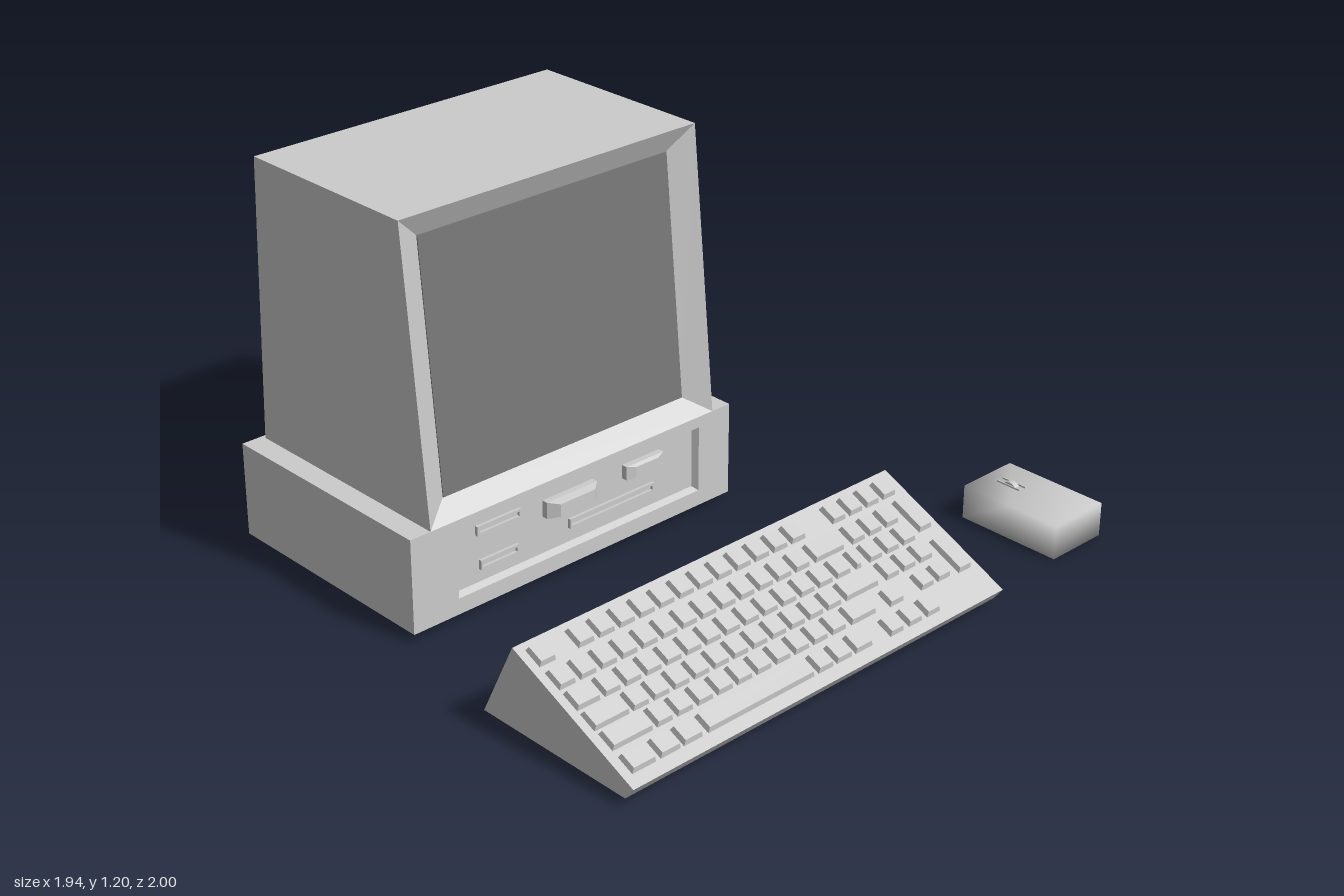
import * as THREE from 'three';
import { mergeGeometries, mergeVertices } from 'three/addons/utils/BufferGeometryUtils.js';

const grey = new THREE.MeshStandardMaterial({ color: 0xcccccc });
const darkGrey = new THREE.MeshStandardMaterial({ color: 0x777777 });

// Rectangle cross-section; bottom and top edges may have different z
const ring = (x0, x1, y0, y1, z0, z1 = z0) => [[x0, y0, z0], [x1, y0, z0], [x1, y1, z1], [x0, y1, z1]];

// Closed flat-sided skin through rectangles listed from front to back
function loft(rings) {
  const pos = [];
  const quad = (a, b, c, d) => pos.push(...a, ...b, ...c, ...a, ...c, ...d);
  quad(...rings[0]);
  for (let i = 0; i < rings.length - 1; i++) {
    const f = rings[i], r = rings[i + 1];
    for (let k = 0; k < 4; k++) {
      const n = (k + 1) % 4;
      quad(f[k], r[k], r[n], f[n]);
    }
  }
  quad(...rings[rings.length - 1].slice().reverse());
  const g = new THREE.BufferGeometry();
  g.setAttribute('position', new THREE.Float32BufferAttribute(pos, 3));
  g.computeVertexNormals();
  return g;
}

function add(parent, name, geometry, material = grey) {
  const mesh = new THREE.Mesh(geometry, material);
  mesh.name = name;
  parent.add(mesh);
  return mesh;
}

function makeComputer() {
  const g = new THREE.Group();
  g.name = 'computer';

  // System case with a recessed drive panel
  add(g, 'systemCase', loft([
    ring(-0.71, 0.19, 0.085, 0.275, 0.0),
    ring(-0.72, 0.2, 0.075, 0.285, 0.02),
    ring(-0.88, 0.325, 0.025, 0.32, 0.02),
    ring(-0.88, 0.325, 0.025, 0.32, -0.755),
  ]));

  // Slot frames standing proud of the panel, each with a sunken middle
  for (const [x0, x1, y] of [[-0.64, -0.48, 0.25], [-0.63, -0.49, 0.14], [-0.3, 0.03, 0.145]]) {
    add(g, 'driveSlot', loft([
      ring(x0 + 0.008, x1 - 0.008, y - 0.007, y + 0.007, 0.001),
      ring(x0 + 0.008, x1 - 0.008, y - 0.007, y + 0.007, 0.01),
      ring(x0, x1, y - 0.015, y + 0.015, 0.01),
      ring(x0, x1, y - 0.015, y + 0.015, -0.005),
    ]));
  }

  // Tapered drive handles
  for (const [x0, x1, y, h, z] of [[-0.395, -0.205, 0.228, 0.026, 0.045], [-0.09, 0.055, 0.235, 0.022, 0.03]]) {
    add(g, 'driveHandle', loft([
      ring(x0 + 0.03, x1 - 0.03, y - h + 0.006, y + h - 0.006, z),
      ring(x0, x1, y - h, y + h, 0.02),
      ring(x0, x1, y - h, y + h, -0.005),
    ]));
  }

  // Monitor shell with sloping bezels sunk into the front and back
  add(g, 'monitorShell', loft([
    ring(-0.725, 0.175, 0.375, 1.125, -0.03, -0.1),
    ring(-0.81, 0.255, 0.32, 1.2, 0.02, -0.065),
    ring(-0.81, 0.255, 0.32, 1.2, -0.74, -0.7),
    ring(-0.735, 0.18, 0.375, 1.13, -0.69, -0.66),
  ]));
  add(g, 'screen', loft([
    ring(-0.725, 0.175, 0.375, 1.125, -0.027, -0.097),
    ring(-0.725, 0.175, 0.375, 1.125, -0.035, -0.105),
  ]), darkGrey);
  add(g, 'tubeHousing', loft([
    ring(-0.733, 0.178, 0.377, 1.128, -0.685, -0.655),
    ring(-0.575, 0.015, 0.5, 1.0, -1),
  ]));
  return g;
}

function makeKeyboard() {
  const g = new THREE.Group();
  g.name = 'keyboard';

  // Wedge body: side profile swept along x
  const profile = [[-1, 0.062], [-0.97, 0.022], [-0.43, 0.022], [-0.55, 0.265]];
  const shape = new THREE.Shape(profile.map(([a, b]) => new THREE.Vector2(a, b)));
  const body = new THREE.ExtrudeGeometry(shape, { depth: 1.405, bevelEnabled: false });
  body.rotateY(Math.PI / 2).translate(-0.975, 0, 0);
  add(g, 'keyboardBody', body);

  // Key layout on the sloping top: local y runs up the slope, local z out of it
  const slope = Math.hypot(0.45, 0.203) / 0.45;
  const caps = [];
  const key = (x0, x1, zBack, zFront) => {
    const y0 = (1 - zFront) * slope, y1 = (1 - zBack) * slope;
    caps.push(loft([
      ring(x0 + 0.005, x1 - 0.005, y0 + 0.007, y1 - 0.004, 0.016),
      ring(x0, x1, y0, y1, -0.003),
    ]));
  };
  const run = (x, count, row, pitch = 0.0712, width = 0.056) => {
    for (let i = 0; i < count; i++) key(x + i * pitch, x + i * pitch + width, ...row);
  };
  const rows = [[0.57, 0.627], [0.645, 0.702], [0.712, 0.768], [0.777, 0.832], [0.84, 0.895], [0.912, 0.966]];
  const [r1, r2, r3, r4, r5, r6] = rows;

  // Function row
  run(-0.95, 1, r1);
  run(-0.818, 12, r1);
  run(0.13, 4, r1, 0.069, 0.053);

  // Letter rows
  run(-0.95, 13, r2);
  run(-0.868 + 0.012, 13, r3);
  run(-0.818, 11, r4);
  run(-0.795, 10, r5);

  // Wide keys
  for (const [x0, x1, row] of [
    [-0.018, 0.098, r2], [-0.95, -0.87, r3], [0.075, 0.098, r3],
    [-0.95, -0.83, r4], [-0.033, 0.098, r4], [-0.947, -0.808, r5], [-0.078, 0.02, r5],
    [-0.947, -0.865, r6], [-0.85, -0.78, r6], [-0.77, -0.703, r6], [-0.685, -0.295, r6],
    [-0.28, -0.222, r6], [-0.21, -0.15, r6], [-0.137, -0.07, r6],
  ]) key(x0, x1, ...row);

  // Arrow keys
  run(-0.003, 3, [0.917, 0.97], 0.074, 0.054);
  run(0.071, 1, [0.85, 0.9]);

  // Number pad
  for (const row of [r2, r3, r4]) run(0.13, 3, row, 0.069, 0.053);
  run(0.199, 2, [0.85, 0.9], 0.069, 0.053);
  key(0.35, 0.403, 0.645, 0.755);
  key(0.35, 0.403, 0.79, 0.905);

  const keys = add(g, 'keys', mergeGeometries(caps));
  keys.position.set(0, 0.062, 1);
  keys.rotation.x = -Math.atan2(0.45, 0.203);
  return g;
}

function makeMouse() {
  const g = new THREE.Group();
  g.name = 'mouse';

  // Softly shaded block
  let block = new THREE.BoxGeometry(0.21, 0.107, 0.345, 1, 1, 2);
  block.deleteAttribute('normal');
  block.deleteAttribute('uv');
  block = mergeVertices(block);
  block.computeVertexNormals();
  add(g, 'mouseBody', block).position.set(0.86, 0.0535, 0.753);

  // Wheel in a slim raised frame
  const wheel = new THREE.CylinderGeometry(0.03, 0.03, 0.018, 16).rotateZ(Math.PI / 2);
  add(g, 'mouseWheel', wheel).position.set(0.86, 0.088, 0.672);
  for (const x of [0.847, 0.873]) {
    add(g, 'wheelFrame', new THREE.BoxGeometry(0.004, 0.008, 0.085)).position.set(x, 0.108, 0.672);
  }
  return g;
}

export function createModel() {
  const model = new THREE.Group();
  model.name = 'desktopComputerSet';
  model.add(makeComputer(), makeKeyboard(), makeMouse());
  return model;
}
